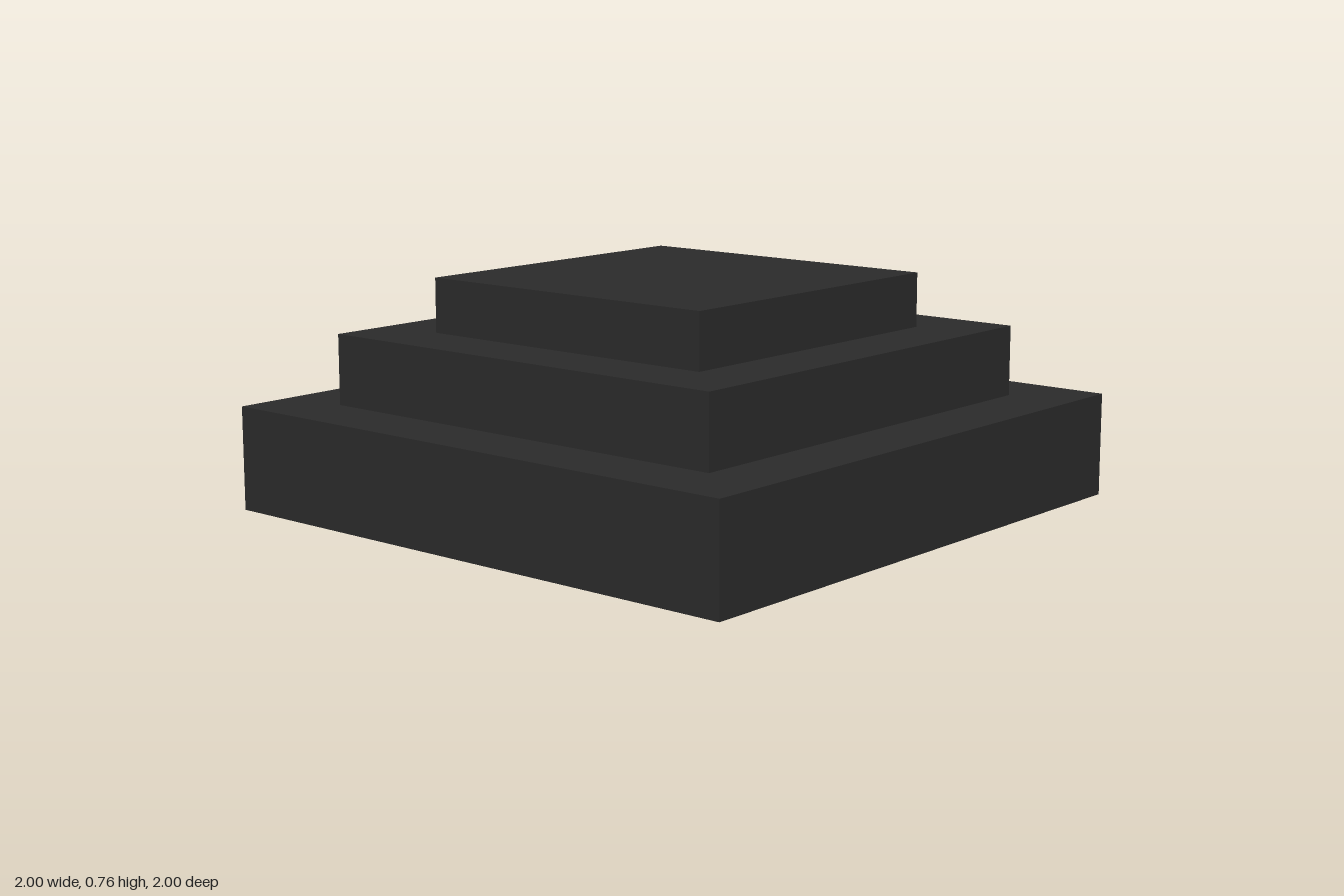
import * as THREE from 'three';

export function createModel() {
  const model = new THREE.Group();
  model.name = 'steppedPlinth';
  const material = new THREE.MeshStandardMaterial({ color: 0x2a2a2a });

  // Square tiers stacked from the ground up: name, width, height
  const tiers = [
    ['bottomTier', 2, 0.343],
    ['middleTier', 1.555, 0.233],
    ['topTier', 1.11, 0.18],
  ];

  let y = 0;
  for (const [name, width, height] of tiers) {
    const tier = new THREE.Mesh(new THREE.BoxGeometry(width, height, width), material);
    tier.name = name;
    tier.position.y = y + height / 2;
    model.add(tier);
    y += height;
  }
  return model;
}
